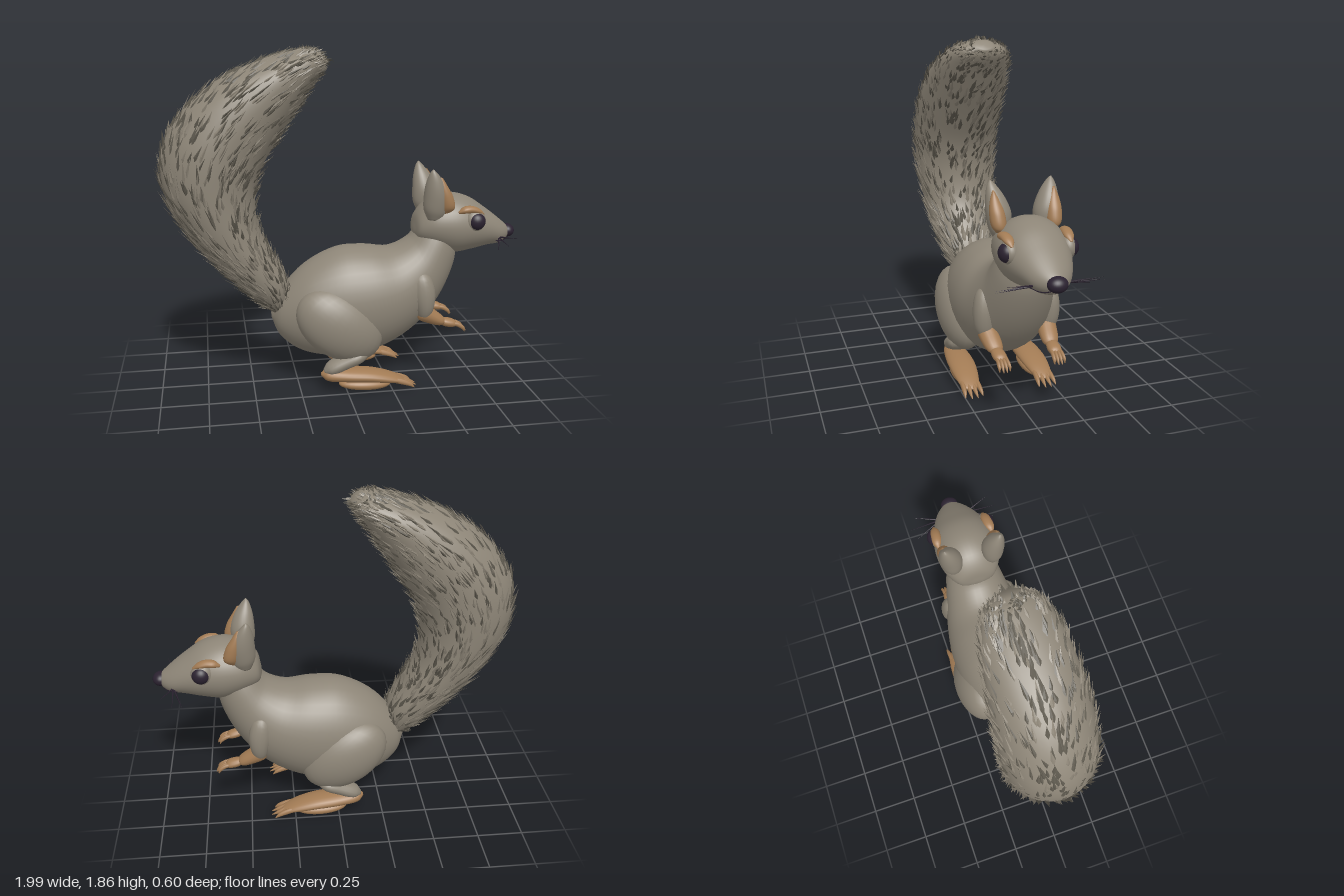
import * as THREE from 'three';

const mat = (name, color) => Object.assign(new THREE.MeshStandardMaterial({ color }), { name });
const V = (x, y, z) => new THREE.Vector3(x, y, z);

// Smooth surface through oval sections [upperX, upperY, lowerX, lowerY, halfWidth, z]
function ovalSurface(sections) {
  const upper = new THREE.CatmullRomCurve3(sections.map(s => V(s[0], s[1], s[4])));
  const lower = new THREE.CatmullRomCurve3(sections.map(s => V(s[2], s[3], s[5] || 0)));
  return (t, a, grow = 0) => {
    const u = upper.getPoint(t), l = lower.getPoint(t);
    const c = V((u.x + l.x) / 2, (u.y + l.y) / 2, l.z);
    const h = V((u.x - l.x) / 2, (u.y - l.y) / 2, 0);
    const hl = h.length() || 1;
    return c.addScaledVector(h, Math.cos(a) * (1 + grow / hl))
      .add(V(0, 0, Math.sin(a) * (Math.max(u.z, 0) + grow)));
  };
}

function loft(sections, rows = 28, cols = 28) {
  const f = ovalSurface(sections), pos = [], idx = [];
  for (let i = -1; i <= rows + 1; i++) {
    const t = Math.min(1, Math.max(0, i / rows));
    const mid = f(t, 0).add(f(t, Math.PI)).multiplyScalar(0.5);
    for (let j = 0; j < cols; j++) {
      const p = i < 0 || i > rows ? mid : f(t, j / cols * Math.PI * 2);
      pos.push(p.x, p.y, p.z);
    }
  }
  for (let i = 0; i < rows + 2; i++) for (let j = 0; j < cols; j++) {
    const a = i * cols + j, b = i * cols + (j + 1) % cols;
    idx.push(a, b, a + cols, b, b + cols, a + cols);
  }
  const g = new THREE.BufferGeometry();
  g.setAttribute('position', new THREE.Float32BufferAttribute(pos, 3));
  g.setIndex(idx);
  g.computeVertexNormals();
  return g;
}

// Limb along a centre line of [x, y, z, radius, halfWidth]
function limb(points, side, rows = 16, cols = 16) {
  return loft(points.map((p, i) => {
    const a = points[Math.max(0, i - 1)], b = points[Math.min(points.length - 1, i + 1)];
    const d = Math.hypot(b[0] - a[0], b[1] - a[1]);
    const nx = -(b[1] - a[1]) / d * p[3], ny = (b[0] - a[0]) / d * p[3];
    return [p[0] + nx, p[1] + ny, p[0] - nx, p[1] - ny, p[4], p[2] * side];
  }), rows, cols);
}

export function createModel() {
  const root = new THREE.Group();
  root.name = 'squirrel';
  const fur = mat('grey fur', 0x8d8577), tan = mat('tan skin', 0xa27b54);
  const dark = mat('eye and nose', 0x2b2230), hair = mat('dark hair', 0x605b50);
  const furTuft = mat('grey tuft', 0x8d8577);
  hair.side = furTuft.side = THREE.DoubleSide;
  const add = (name, geo, material) => {
    const m = new THREE.Mesh(geo, material);
    m.name = name;
    root.add(m);
    return m;
  };
  const ball = (name, material, p, r, tilt = 0) => {
    const m = add(name, new THREE.SphereGeometry(1, 28, 20), material);
    m.position.set(...p);
    m.scale.set(...r);
    m.rotation.z = tilt;
  };

  // Torso and neck
  add('body', loft([
    [-0.392, 0.41, -0.39, 0.38, 0.02], [-0.34, 0.53, -0.35, 0.285, 0.11], [-0.2, 0.68, -0.23, 0.188, 0.2],
    [-0.02, 0.768, -0.02, 0.147, 0.25], [0.13, 0.775, 0.22, 0.187, 0.255], [0.27, 0.762, 0.42, 0.305, 0.225],
    [0.38, 0.81, 0.55, 0.46, 0.185], [0.43, 0.87, 0.64, 0.66, 0.155], [0.47, 0.92, 0.655, 0.78, 0.13],
  ], 40, 36), fur);

  // Head
  add('head', loft([
    [0.408, 0.87, 0.406, 0.835, 0.03], [0.43, 0.95, 0.42, 0.80, 0.105], [0.5, 1.025, 0.5, 0.755, 0.16],
    [0.6, 1.055, 0.62, 0.717, 0.18], [0.71, 1.035, 0.73, 0.73, 0.168], [0.82, 0.965, 0.83, 0.75, 0.132],
    [0.91, 0.895, 0.9, 0.758, 0.09], [0.955, 0.855, 0.945, 0.782, 0.045], [0.965, 0.835, 0.96, 0.81, 0.015],
  ], 40, 36), fur);
  ball('nose', dark, [0.958, 0.826, 0], [0.042, 0.038, 0.05], -0.2);

  for (const s of [1, -1]) {
    const tag = s > 0 ? 'left ' : 'right ';

    // Ears, opening forward and a little outward
    add(tag + 'ear', loft([
      [0.46, 0.93, 0.54, 0.93, 0.035, s * 0.115], [0.437, 0.99, 0.56, 0.97, 0.056, s * 0.118],
      [0.435, 1.06, 0.568, 1.05, 0.063, s * 0.124], [0.443, 1.14, 0.548, 1.12, 0.048, s * 0.138],
      [0.46, 1.195, 0.508, 1.18, 0.022, s * 0.152], [0.473, 1.212, 0.48, 1.21, 0.004, s * 0.157],
    ]), fur);
    add(tag + 'inner ear', loft([
      [0.53, 0.965, 0.57, 0.965, 0.012, s * 0.137], [0.52, 1.01, 0.602, 0.995, 0.036, s * 0.142],
      [0.51, 1.07, 0.59, 1.06, 0.038, s * 0.147], [0.51, 1.13, 0.556, 1.12, 0.024, s * 0.152],
      [0.51, 1.17, 0.528, 1.165, 0.005, s * 0.156],
    ]), tan);

    // Eyes, lids and brows
    ball(tag + 'eyelid', fur, [0.72, 0.92, s * 0.145], [0.06, 0.06, 0.043]);
    ball(tag + 'eye', dark, [0.726, 0.92, s * 0.158], [0.048, 0.048, 0.043]);
    add(tag + 'brow', limb([[0.622, 0.972, 0.16, 0.006, 0.006], [0.655, 0.984, 0.157, 0.019, 0.026],
      [0.695, 0.986, 0.153, 0.02, 0.028], [0.735, 0.975, 0.15, 0.015, 0.024],
      [0.768, 0.957, 0.148, 0.004, 0.006]], s), tan);

    // Mouth line and whiskers
    add(tag + 'mouth', new THREE.TubeGeometry(new THREE.CatmullRomCurve3([
      V(0.86, 0.79, s * 0.094), V(0.9, 0.782, s * 0.069), V(0.93, 0.785, s * 0.046), V(0.952, 0.797, s * 0.022),
    ]), 16, 0.004, 6), dark);
    for (const [x, y, z] of [[0.825, 0.765, 0.25], [0.88, 0.795, 0.275], [0.94, 0.832, 0.24]]) {
      const a = V(0.885, 0.805, s * 0.08), d = V(x, y, s * z).sub(a);
      const w = add(tag + 'whisker', new THREE.ConeGeometry(0.0055, d.length(), 6), dark);
      w.position.copy(a).addScaledVector(d, 0.5);
      w.quaternion.setFromUnitVectors(V(0, 1, 0), d.normalize());
    }

    // Hind legs and feet
    ball(tag + 'haunch', fur, [-0.035, 0.375, s * 0.17], [0.26, 0.182, 0.13], -0.61);
    add(tag + 'lower leg', limb([[0.12, 0.225, 0.2, 0.02, 0.02], [0.07, 0.205, 0.2, 0.04, 0.06],
      [-0.01, 0.173, 0.2, 0.042, 0.06], [-0.09, 0.137, 0.2, 0.037, 0.05], [-0.125, 0.122, 0.2, 0.012, 0.02]], s), fur);
    add(tag + 'foot', limb([[-0.142, 0.108, 0.197, 0.008, 0.01], [-0.11, 0.103, 0.197, 0.032, 0.045],
      [0.0, 0.097, 0.199, 0.038, 0.068], [0.13, 0.088, 0.203, 0.036, 0.073], [0.24, 0.068, 0.207, 0.027, 0.062],
      [0.31, 0.05, 0.21, 0.013, 0.043], [0.33, 0.045, 0.21, 0.003, 0.02]], s, 24, 24), tan);
    ball(tag + 'foot pad', tan, [0.1, 0.038, s * 0.2], [0.145, 0.034, 0.058], -0.05);
    for (let i = 0; i < 4; i++) {
      const k = i - 1.5, z = 0.208 + k * 0.027, tip = 0.395 - Math.abs(k) * 0.018;
      add(tag + 'toe', limb([[0.22, 0.07, z, 0.012, 0.012], [0.29, 0.055, z, 0.016, 0.014],
        [0.345, 0.035, z + k * 0.003, 0.011, 0.01], [tip, 0.018, z + k * 0.005, 0.002, 0.002]], s, 10, 10), tan);
    }

    // Arms, hands and fingers
    add(tag + 'upper arm', limb([[0.415, 0.653, 0.165, 0.012, 0.012], [0.42, 0.62, 0.172, 0.046, 0.04],
      [0.432, 0.54, 0.182, 0.061, 0.05], [0.438, 0.45, 0.178, 0.05, 0.05],
      [0.435, 0.395, 0.17, 0.032, 0.035], [0.432, 0.375, 0.168, 0.008, 0.008]], s), fur);
    add(tag + 'forearm', limb([[0.405, 0.435, 0.166, 0.015, 0.02], [0.43, 0.42, 0.164, 0.047, 0.046],
      [0.48, 0.39, 0.157, 0.042, 0.05], [0.54, 0.357, 0.15, 0.027, 0.04], [0.56, 0.348, 0.149, 0.01, 0.02]], s), tan);
    add(tag + 'hand', limb([[0.535, 0.36, 0.149, 0.012, 0.02], [0.56, 0.35, 0.148, 0.024, 0.033],
      [0.61, 0.338, 0.146, 0.022, 0.034], [0.635, 0.328, 0.146, 0.006, 0.02]], s), tan);
    for (let i = 0; i < 4; i++) {
      const k = i - 1.5, z = 0.145 + k * 0.016, tip = 0.69 - Math.abs(k) * 0.012;
      add(tag + 'finger', limb([[0.59, 0.345, z, 0.008, 0.008], [0.635, 0.333, z, 0.012, 0.0095],
        [0.665, 0.313, z + k * 0.002, 0.01, 0.008], [tip, 0.293, z + k * 0.002, 0.002, 0.002]], s, 10, 8), tan);
    }
  }

  // Bushy tail
  const tail = [
    [-0.375, 0.408, -0.3, 0.425, 0.06], [-0.48, 0.495, -0.295, 0.585, 0.13], [-0.65, 0.66, -0.38, 0.75, 0.18],
    [-0.825, 0.865, -0.45, 0.9, 0.215], [-0.95, 1.13, -0.465, 1.08, 0.237], [-0.935, 1.365, -0.425, 1.23, 0.245],
    [-0.815, 1.55, -0.33, 1.39, 0.24], [-0.63, 1.695, -0.23, 1.54, 0.222], [-0.4, 1.795, -0.145, 1.67, 0.19],
    [-0.2, 1.843, -0.085, 1.755, 0.125], [-0.125, 1.84, -0.075, 1.795, 0.045],
  ];
  add('tail', loft(tail, 48, 36), fur);

  // Tufts lying along the tail, tips lifted; darker and broader on its inner and outer faces
  let seed = 7;
  const rnd = () => (seed = (seed * 16807) % 2147483647) / 2147483647;
  const surf = ovalSurface(tail), darkPos = [], furPos = [];
  for (let i = 0; i < 1700; i++) {
    const t = 0.01 + rnd() * 0.96, a = rnd() * Math.PI * 2, len = 0.035 + rnd() * 0.03;
    const face = Math.abs(Math.cos(a));
    const t2 = Math.min(1, t + len), over = t + len - t2, tm = t + (t2 - t) * 0.35;
    const base = surf(t, a, -0.004), ridge = surf(tm, a, 0.008);
    const tip = surf(t2, a + (rnd() - 0.5) * 0.1, 0.014 + rnd() * 0.022).add(V(over * 1.1, over * 0.3, 0));
    const across = surf(t, a + 0.05).sub(surf(t, a - 0.05)).normalize()
      .multiplyScalar(0.005 + face * 0.004 + rnd() * 0.004);
    const mid = surf(tm, a, 0.002);
    const l = mid.clone().sub(across), r = mid.clone().add(across);
    const pos = rnd() < 0.2 + 0.5 * face ? darkPos : furPos;
    for (const p of [base, ridge, l, base, r, ridge, l, ridge, tip, ridge, r, tip]) pos.push(p.x, p.y, p.z);
  }
  for (const [name, pos, material] of [['dark tail tufts', darkPos, hair], ['grey tail tufts', furPos, furTuft]]) {
    const tufts = new THREE.BufferGeometry();
    tufts.setAttribute('position', new THREE.Float32BufferAttribute(pos, 3));
    tufts.computeVertexNormals();
    add(name, tufts, material);
  }
  return root;
}
